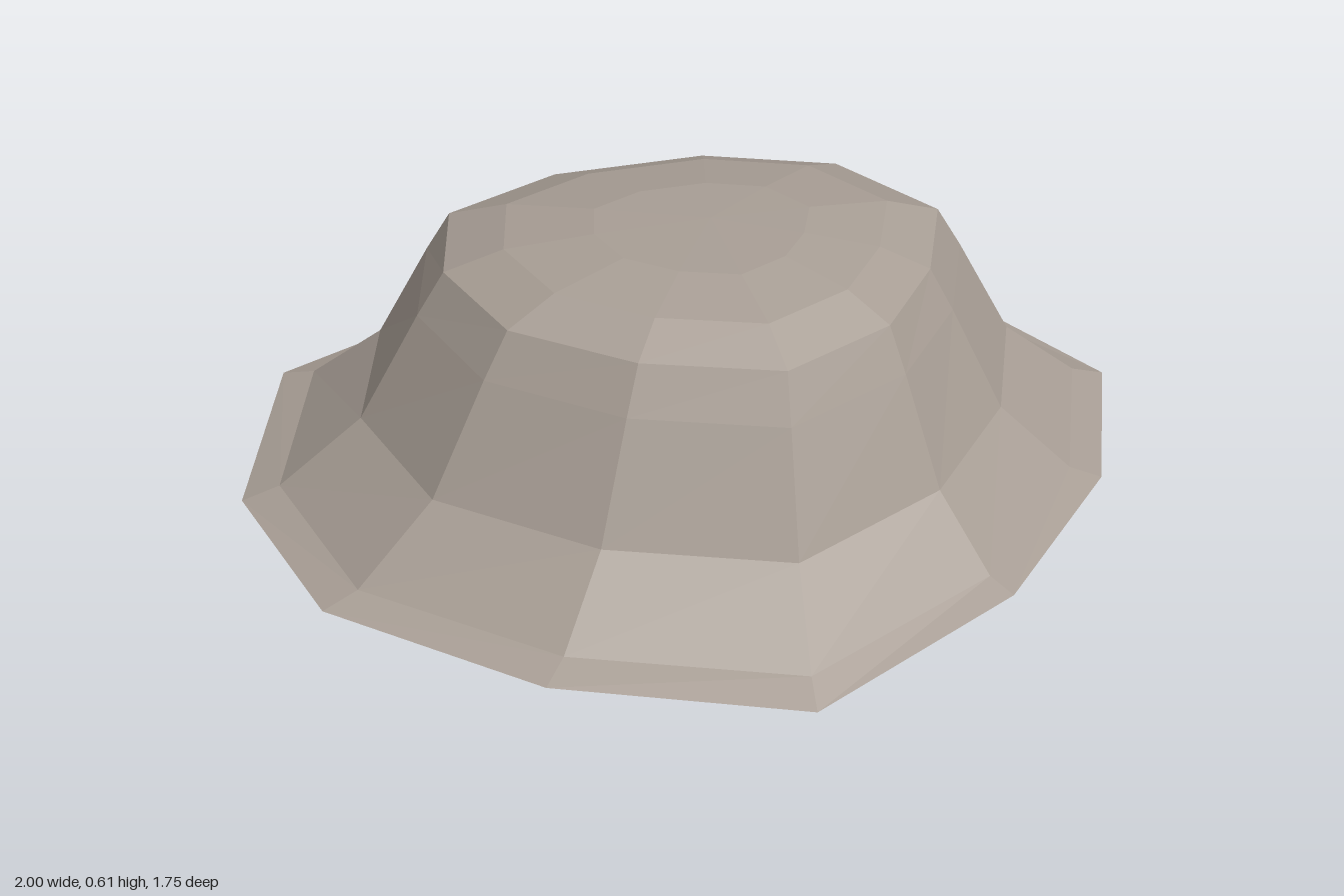
import * as THREE from 'three';

// Irregular eleven-sided outlines [x, z]: the wide foot and the shoulder
const foot = [[-0.28, -0.88], [0.28, -0.82], [0.78, -0.55], [1, -0.05], [0.8, 0.34], [0.43, 0.67],
  [-0.09, 0.87], [-0.57, 0.62], [-0.93, 0.23], [-1, -0.23], [-0.8, -0.7]];
const shoulder = [[-0.19, -0.48], [0.15, -0.45], [0.42, -0.31], [0.55, -0.04], [0.43, 0.19], [0.26, 0.37],
  [0, 0.46], [-0.27, 0.33], [-0.48, 0.12], [-0.54, -0.15], [-0.46, -0.39]];
const sides = foot.length;

// Ring between foot (t = 0) and shoulder (t = 1), shrunk towards the crown centre
const ring = (t, y, shrink = 1) => foot.map(([x, z], i) => {
  const px = x + (shoulder[i][0] - x) * t, pz = z + (shoulder[i][1] - z) * t;
  const wave = t === 0 ? (i % 3) * 0.005 : 0; // slightly uneven lower edge
  return [px * shrink, y + wave, pz * shrink];
});

// Surface joining a stack of rings, with an optional closing point on top
function loft(name, rings, tip, material) {
  const pos = rings.flat(2), index = [];
  for (let r = 0; r < rings.length - 1; r++) {
    for (let i = 0; i < sides; i++) {
      const a = r * sides + i, b = r * sides + (i + 1) % sides;
      index.push(a, a + sides, b, b, a + sides, b + sides);
    }
  }
  if (tip) {
    const base = (rings.length - 1) * sides;
    pos.push(...tip);
    for (let i = 0; i < sides; i++) index.push(base + i, rings.length * sides, base + (i + 1) % sides);
  }
  const indexed = new THREE.BufferGeometry();
  indexed.setAttribute('position', new THREE.Float32BufferAttribute(pos, 3));
  indexed.setIndex(index);
  const geometry = indexed.toNonIndexed();
  geometry.computeVertexNormals();
  const mesh = new THREE.Mesh(geometry, material);
  mesh.name = name;
  return mesh;
}

export function createModel() {
  const stone = new THREE.MeshStandardMaterial({ color: 0xa89e95, flatShading: true, side: THREE.DoubleSide });
  stone.name = 'warm grey stone';

  const model = new THREE.Group();
  model.name = 'hollowRock';

  // Flared foot, open underneath
  model.add(loft('flaredFoot', [ring(0, 0), ring(0.18, 0.03), ring(0.58, 0.185)], null, stone));
  // Steep walls up to the shoulder
  model.add(loft('walls', [ring(0.58, 0.185), ring(0.87, 0.43), ring(1, 0.53)], null, stone));
  // Shallow crown
  model.add(loft('crown', [ring(1, 0.53), ring(1, 0.58, 0.77), ring(1, 0.608, 0.43)], [0.02, 0.612, -0.04], stone));
  return model;
}
